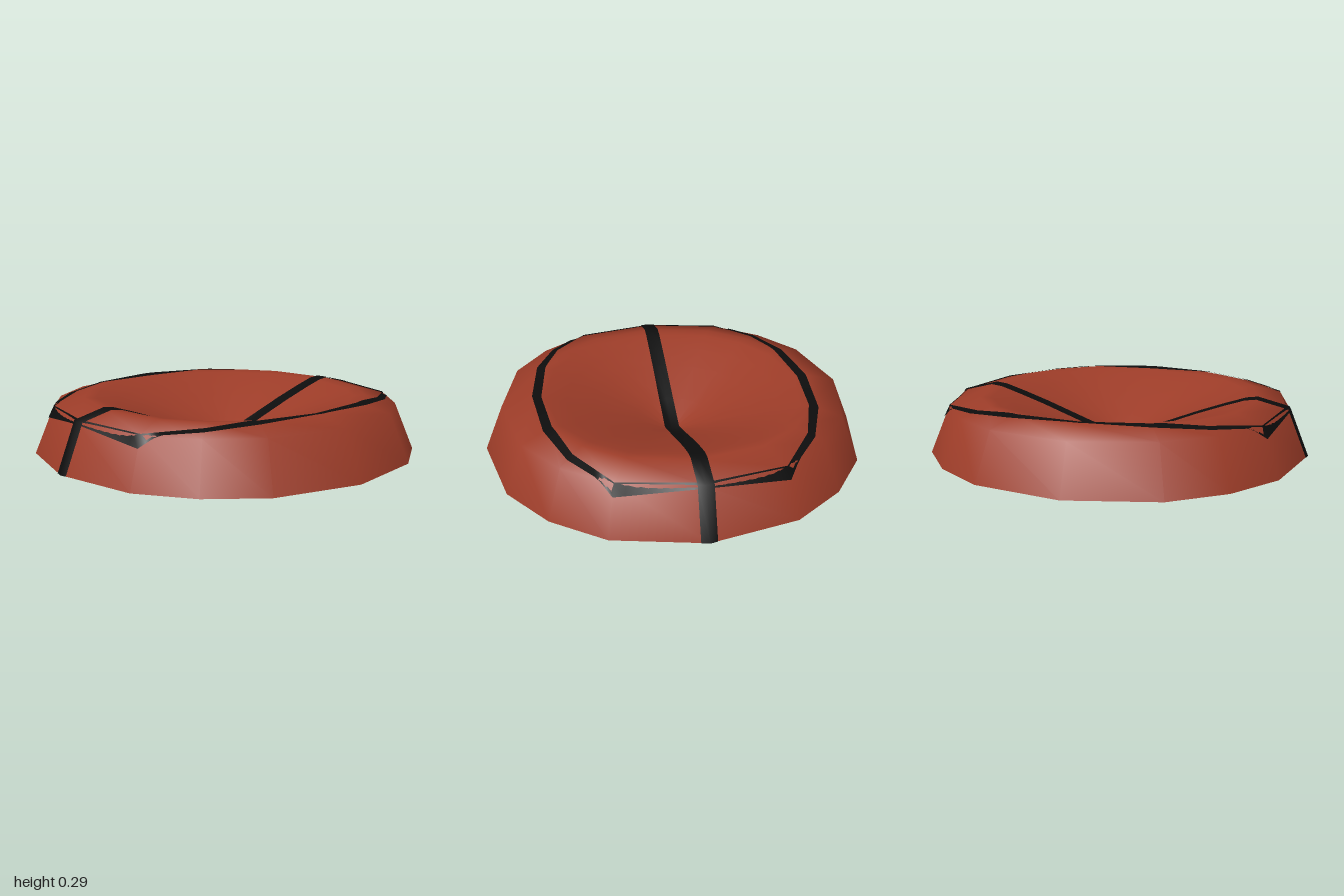
import * as THREE from 'three';

const RED = new THREE.MeshStandardMaterial({ color: 0x9c3c28 });
const BLACK = new THREE.MeshStandardMaterial({ color: 0x0d0d0d, side: THREE.DoubleSide });

// One quarter of the 16-sided outline, mirrored into the full loop
const QUARTER = [[1, 0], [0.9, 0.45], [0.71, 0.71], [0.45, 0.9]];
const SPOKES = [0, 1, 2, 3].flatMap((q) => QUARTER.map(([x, z]) =>
  [[x, z], [-z, x], [-x, -z], [z, -x]][q]));

// Section from the centre of the dish, over the lip and down the wall: [radius, y]
const PROFILE = [[0, 0.012], [0.2, 0.1], [0.43, 0.19], [0.57, 0.24], [0.68, 0.276],
  [0.74, 0.284], [0.9, 0.243], [1, 0]];
const LIFT = 0.005;
const HALF = 0.039;

function profileY(r) {
  for (let i = 1; i < PROFILE.length; i++) {
    const [r0, y0] = PROFILE[i - 1], [r1, y1] = PROFILE[i];
    if (r <= r1) return y0 + (y1 - y0) * (r - r0) / (r1 - r0);
  }
  return 0;
}

// Height of the faceted surface above a point
function heightAt(x, z) {
  let rho = 0;
  SPOKES.forEach(([ax, az], i) => {
    const [bx, bz] = SPOKES[(i + 1) % 16];
    const det = ax * bz - az * bx;
    const u = (x * bz - z * bx) / det, v = (ax * z - az * x) / det;
    if (u >= -1e-6 && v >= -1e-6) rho = u + v;
  });
  return profileY(rho);
}

// Skin a grid of points, optionally closing each row into a loop
function skin(name, rows, material, closed) {
  const n = rows[0].length, index = [];
  for (let i = 0; i < rows.length - 1; i++) {
    for (let j = 0; j < (closed ? n : n - 1); j++) {
      const a = i * n + j, b = i * n + (j + 1) % n;
      index.push(a, b, a + n, b, b + n, a + n);
    }
  }
  const geo = new THREE.BufferGeometry();
  geo.setAttribute('position', new THREE.Float32BufferAttribute(rows.flat(2), 3));
  geo.setIndex(index);
  geo.computeVertexNormals();
  const mesh = new THREE.Mesh(geo, material);
  mesh.name = name;
  return mesh;
}

const loop = (r, y) => SPOKES.map(([x, z]) => [x * r, y, z * r]);

// Piping line draped on the dished top; radii are given for one quarter
function drapedLoop(radii) {
  const pts = SPOKES.map(([x, z], i) => {
    const k = i % 8;
    const r = radii[k <= 4 ? k : 8 - k];
    return [x * r, z * r];
  });
  return pts.flatMap(([x, z], i) => {
    const [nx, nz] = pts[(i + 1) % 16];
    return [0, 1, 2, 3, 4, 5, 6, 7].map((s) => {
      const px = x + (nx - x) * s / 8, pz = z + (nz - z) * s / 8;
      return [px * 1.003, heightAt(px, pz) + LIFT, pz * 1.003];
    });
  });
}

export function createModel() {
  const model = new THREE.Group();
  model.name = 'dishedCushion';

  // Dished top and sloping wall, then the flat underside
  model.add(skin('cushionBody', PROFILE.map(([r, y]) => loop(r, y)), RED, true));
  model.add(skin('underside', [loop(1, 0.002), loop(0.5, 0.003), loop(0, 0.003)], RED, true));

  // Piping on the top and underneath
  model.add(skin('topPiping', [
    drapedLoop([0.88, 0.895, 0.805, 0.725, 0.69]),
    drapedLoop([0.905, 0.925, 0.845, 0.775, 0.737]),
  ], BLACK, true));
  model.add(skin('bottomPiping', [loop(0.957, 0), loop(0.93, 0)], BLACK, true));

  // Band over the top and down both walls
  const steps = [...PROFILE.slice(1).map(([r]) => -r).reverse(), 0, ...PROFILE.slice(1).map(([r]) => r)];
  model.add(skin('topBand', steps.map((r) => [-HALF, 0, HALF].map((z) => {
    const x = Math.sign(r) * (Math.abs(r) - (z ? 0.0087 : 0));
    const out = Math.abs(r) >= 0.9 ? 0.003 * Math.sign(r) : 0;
    return [x + out, heightAt(x, z) + (Math.abs(r) === 1 ? 0 : LIFT), z];
  })), BLACK, false));

  // Band across the underside
  model.add(skin('bottomBand', [0.99, -0.99].map((x) => [[x, 0, -HALF], [x, 0, HALF]]), BLACK, false));

  return model;
}
